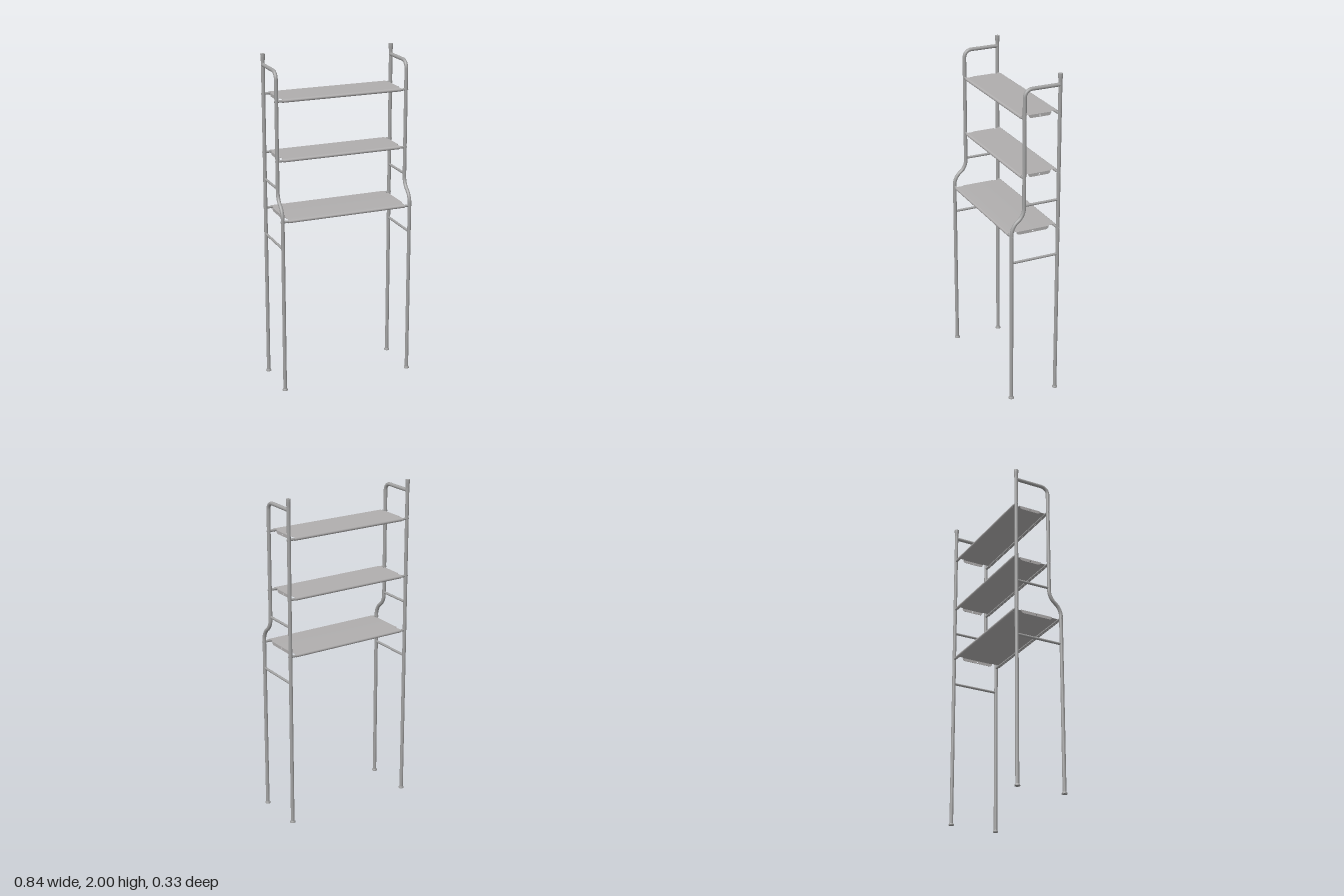
import * as THREE from 'three';
import { toCreasedNormals } from 'three/addons/utils/BufferGeometryUtils.js';

const POLE_X = 0.405, BACK_Z = -0.147, FRONT_Z = 0.147, UPPER_Z = 0.07;
const POLE_R = 0.011, ROD_R = 0.0075;

export function createModel() {
  const group = new THREE.Group();
  const tubeMat = new THREE.MeshStandardMaterial({ color: 0xa2a2a2 });
  tubeMat.name = 'grey tube';
  const shelfMat = new THREE.MeshStandardMaterial({ color: 0xb0aeae });
  shelfMat.name = 'pale grey sheet';

  const add = (parent, geo, mat, name, x = 0, y = 0, z = 0) => {
    const mesh = new THREE.Mesh(geo, mat);
    mesh.name = name;
    mesh.position.set(x, y, z);
    parent.add(mesh);
    return mesh;
  };

  // Polyline of [z, y, cornerRadius] in the side plane with rounded corners
  const sidePath = (pts) => {
    const v = pts.map(([z, y]) => new THREE.Vector3(0, y, z));
    const path = new THREE.CurvePath();
    let from = v[0];
    for (let i = 1; i < v.length - 1; i++) {
      const r = pts[i][2];
      const a = v[i].clone().add(v[i - 1].clone().sub(v[i]).setLength(r));
      const b = v[i].clone().add(v[i + 1].clone().sub(v[i]).setLength(r));
      path.add(new THREE.LineCurve3(from, a));
      path.add(new THREE.CubicBezierCurve3(a, a.clone().lerp(v[i], 0.56), b.clone().lerp(v[i], 0.56), b));
      from = b;
    }
    path.add(new THREE.LineCurve3(from, v[v.length - 1]));
    return path;
  };

  // Side frames: straight back pole, bent front pole, two cross bars
  const frontPath = sidePath([
    [FRONT_Z, 0.005], [FRONT_Z, 1.13, 0.042], [UPPER_Z, 1.19, 0.042],
    [UPPER_Z, 1.936, 0.045], [BACK_Z, 1.936],
  ]);
  const foot = new THREE.LatheGeometry([
    [0, 0], [0.016, 0], [0.016, 0.005], [0.0125, 0.012], [0, 0.012],
  ].map(([r, y]) => new THREE.Vector2(r, y)), 20);
  const footGeo = toCreasedNormals(foot, 0.5);

  for (const s of [1, -1]) {
    const frame = new THREE.Group();
    frame.name = s > 0 ? 'leftFrame' : 'rightFrame';
    frame.position.x = s * POLE_X;
    group.add(frame);

    add(frame, new THREE.CylinderGeometry(POLE_R, POLE_R, 1.985, 16), tubeMat, 'backPole', 0, 0.9975, BACK_Z);
    add(frame, new THREE.CylinderGeometry(0.0135, 0.0135, 0.016, 16), tubeMat, 'poleCap', 0, 1.992, BACK_Z);
    add(frame, new THREE.CylinderGeometry(0.0135, POLE_R, 0.03, 16, 1, true), tubeMat, 'capCollar', 0, 1.969, BACK_Z);
    add(frame, new THREE.TubeGeometry(frontPath, 240, POLE_R, 14), tubeMat, 'frontPole');
    for (const z of [FRONT_Z, BACK_Z]) add(frame, footGeo, tubeMat, 'foot', 0, 0, z);

    for (const [y, zf] of [[0.905, FRONT_Z], [1.25, UPPER_Z]]) {
      const bar = new THREE.CylinderGeometry(ROD_R, ROD_R, zf - BACK_Z, 12).rotateX(Math.PI / 2);
      add(frame, bar, tubeMat, 'crossBar', 0, y, (zf + BACK_Z) / 2);
    }
  }

  // Sheet wrapped around the front and back rods, with its curls left open below
  const sheetGeo = (zf, width) => {
    const R = 0.01, r = 0.0085, h = Math.PI / 2, curl = 0.6 * Math.PI;
    const shape = new THREE.Shape();
    shape.moveTo(BACK_Z, R);
    shape.lineTo(zf, R);
    shape.absarc(zf, 0, R, h, -curl, true);
    shape.absarc(zf, 0, r, -curl, h, false);
    shape.lineTo(BACK_Z, r);
    shape.absarc(BACK_Z, 0, r, h, Math.PI + curl, false);
    shape.absarc(BACK_Z, 0, R, Math.PI + curl, h, true);
    const geo = new THREE.ExtrudeGeometry(shape, { depth: width, bevelEnabled: false, curveSegments: 10 });
    geo.translate(0, 0, -width / 2).rotateY(-Math.PI / 2);
    return toCreasedNormals(geo, 0.6);
  };

  // Tapered end flap with a screw hole
  const flapGeo = (half) => {
    const shape = new THREE.Shape();
    shape.moveTo(-half, 0.0095);
    shape.quadraticCurveTo(-half + 0.003, -0.009, -half + 0.018, -0.009);
    shape.lineTo(half - 0.018, -0.009);
    shape.quadraticCurveTo(half - 0.003, -0.009, half, 0.0095);
    const hole = new THREE.Path();
    hole.absarc(0, 0, 0.0045, 0, Math.PI * 2, true);
    shape.holes.push(hole);
    const geo = new THREE.ExtrudeGeometry(shape, { depth: 0.002, bevelEnabled: false, curveSegments: 6 });
    return geo.translate(0, 0, -0.001).rotateY(-Math.PI / 2);
  };

  // Three shelves; the lowest is deeper
  for (const [y, zf, inset] of [[1.071, FRONT_Z, 0.044], [1.415, UPPER_Z, 0.038], [1.766, UPPER_Z, 0.038]]) {
    const shelf = new THREE.Group();
    shelf.name = 'shelf';
    shelf.position.y = y;
    group.add(shelf);
    add(shelf, sheetGeo(zf, 0.74), shelfMat, 'shelfSheet');

    for (const z of [zf, BACK_Z]) {
      const rod = new THREE.CylinderGeometry(ROD_R, ROD_R, POLE_X * 2, 12).rotateZ(Math.PI / 2);
      add(shelf, rod, tubeMat, 'shelfRod', 0, 0, z);
      for (const s of [1, -1]) {
        const screw = new THREE.CylinderGeometry(0.005, 0.005, 0.004, 10).rotateZ(Math.PI / 2);
        add(shelf, screw, tubeMat, 'screwHead', s * (POLE_X + POLE_R), 0, z);
      }
    }

    const mid = (zf + BACK_Z) / 2, half = (zf - BACK_Z) / 2 - inset;
    for (const s of [1, -1]) {
      add(shelf, new THREE.BoxGeometry(0.008, 0.0015, half * 2), shelfMat, 'flapFold', s * 0.374, 0.00925, mid);
      add(shelf, flapGeo(half), shelfMat, 'endFlap', s * 0.377, 0, mid);
    }
  }
  return group;
}
